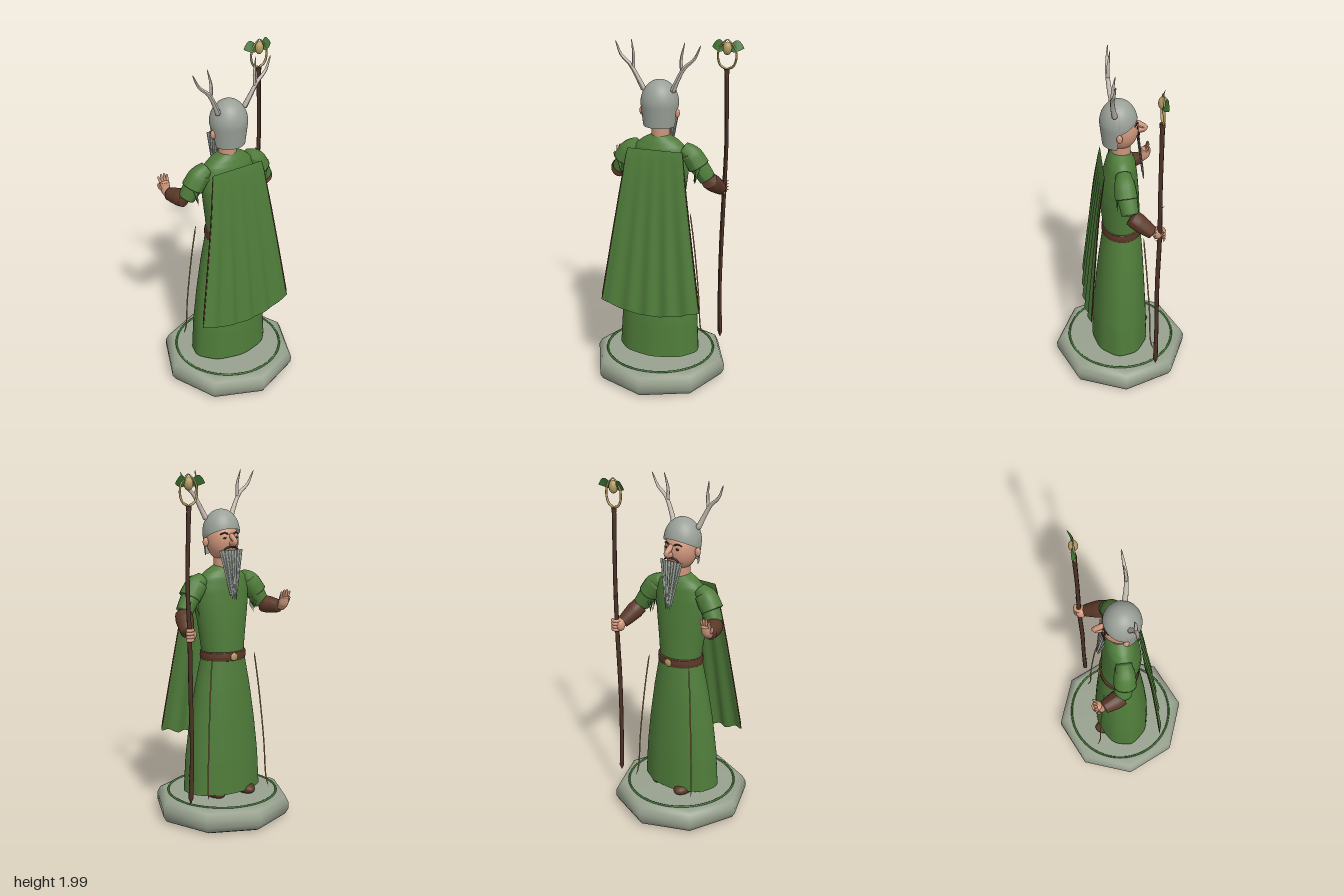
import * as THREE from 'three';
import { mergeVertices } from 'three/addons/utils/BufferGeometryUtils.js';

const V = (x, y, z) => new THREE.Vector3(x, y, z);
const CX = -0.01; // centre line of the figure
const lerp = THREE.MathUtils.lerp;

function mat(name, color, side = THREE.FrontSide) {
  const m = new THREE.MeshStandardMaterial({ color, side });
  m.name = name;
  return m;
}

// Smooth surface over a grid: u runs right, v runs down
function sheet(nu, nv, f) {
  const g = new THREE.PlaneGeometry(1, 1, nu, nv);
  const p = g.attributes.position;
  for (let j = 0; j <= nv; j++) for (let i = 0; i <= nu; i++) {
    p.setXYZ(j * (nu + 1) + i, ...f(i / nu, j / nv));
  }
  g.deleteAttribute('uv');
  g.deleteAttribute('normal');
  const merged = mergeVertices(g, 1e-5);
  merged.computeVertexNormals();
  return merged;
}

// Linear lookup in a list of equally spaced values
function sample(list, t) {
  const k = Math.min(t * (list.length - 1), list.length - 1.0001);
  const i = Math.floor(k);
  return lerp(list[i], list[i + 1], k - i);
}

// Tapered closed tube through points
function limb(points, radii, n = 20, sides = 14) {
  const curve = new THREE.CatmullRomCurve3(points.map((p) => V(...p)));
  const g = new THREE.TubeGeometry(curve, n, 1, sides);
  const p = g.attributes.position, q = V(0, 0, 0);
  for (let i = 0; i <= n; i++) {
    const c = curve.getPointAt(i / n);
    const r = i === 0 || i === n ? 0.0008 : sample(radii, i / n);
    for (let j = 0; j <= sides; j++) {
      const k = i * (sides + 1) + j;
      q.fromBufferAttribute(p, k).sub(c).multiplyScalar(r).add(c);
      p.setXYZ(k, q.x, q.y, q.z);
    }
  }
  g.computeVertexNormals();
  return g;
}

// Elliptical body from rings [y, rx, rz, zCentre], listed from the top; the hem may be fluted
function body(rings, flute = 0) {
  const curve = [0, 1, 2, 3].map((k) => rings.map((r) => r[k]));
  return sheet(72, 28, (u, v) => {
    const a = u * Math.PI * 2;
    const [y, rx, rz, cz] = curve.map((c) => sample(c, v));
    const w = 1 + flute * v * v * Math.cos(a * 9);
    return [CX + Math.sin(a) * rx * w, y, cz + Math.cos(a) * rz * w];
  });
}

export function createModel() {
  const group = new THREE.Group();
  const D = THREE.DoubleSide;
  const cloth = mat('green cloth', 0x4f7c3a, D), stone = mat('stone', 0x98a18f);
  const hair = mat('grey hair', 0x9aa198, D), bone = mat('antler bone', 0xc4bbb0);
  const skin = mat('skin', 0xcd957a), leather = mat('brown leather', 0x5a3827);
  const wood = mat('staff wood', 0x4c3226), gold = mat('pale gold', 0xb39c62);
  const leaf = mat('leaf green', 0x3f7634, D), dark = mat('dark detail', 0x33241d);

  const add = (name, geo, material, pos = [0, 0, 0], scale = [1, 1, 1], rot = [0, 0, 0]) => {
    const m = new THREE.Mesh(geo, material);
    m.name = name;
    m.position.set(...pos);
    m.scale.set(...scale);
    m.rotation.set(...rot);
    group.add(m);
    return m;
  };
  const ball = (name, material, pos, scale) => add(name, new THREE.SphereGeometry(1, 24, 16), material, pos, scale);

  // Eight-sided stone base with rounded rim and inlaid ring
  const rim = [[0, 0], [0.35, 0], [0.378, 0.014], [0.396, 0.045], [0.396, 0.085], [0.378, 0.122], [0.345, 0.138], [0, 0.138]];
  add('base', new THREE.LatheGeometry(rim.map(([x, y]) => new THREE.Vector2(x, y)), 8), stone, [CX, 0, 0]);
  add('baseRing', new THREE.TorusGeometry(0.316, 0.006, 8, 72), leaf, [CX, 0.14, 0], [1, 1, 1], [Math.PI / 2, 0, 0]);

  // Shoes
  ball('leftShoe', leather, [0.08, 0.155, -0.06], [0.052, 0.034, 0.085]);
  ball('rightShoe', leather, [-0.105, 0.16, -0.09], [0.05, 0.036, 0.088]);

  // Robe, belt and buckle
  add('skirt', body([[0.96, 0.128, 0.107, -0.007], [0.76, 0.17, 0.128, -0.002], [0.56, 0.203, 0.145, 0.003],
    [0.36, 0.227, 0.158, 0.006], [0.16, 0.238, 0.165, 0.007]], 0.012), cloth);
  add('skirtUnderside', new THREE.CircleGeometry(1, 48), cloth, [CX, 0.163, 0.007], [0.232, 0.162, 1], [Math.PI / 2, 0, 0]);
  add('torso', body([[1.465, 0.05, 0.045, 0], [1.435, 0.105, 0.066, -0.002], [1.4, 0.145, 0.08, -0.002], [1.33, 0.165, 0.094, 0.002],
    [1.26, 0.165, 0.104, 0.006], [1.18, 0.155, 0.11, 0.006], [1.06, 0.137, 0.109, 0], [0.95, 0.124, 0.104, -0.007]]), cloth);
  add('belt', body([[0.983, 0.125, 0.105, -0.007], [0.978, 0.135, 0.114, -0.007], [0.955, 0.137, 0.116, -0.007],
    [0.935, 0.135, 0.114, -0.007], [0.93, 0.125, 0.105, -0.007]]), leather);
  ball('buckle', gold, [CX, 0.956, -0.123], [0.022, 0.022, 0.008]);

  // Long trim cords in front of the robe
  for (const s of [-1, 1]) {
    add('robeCord', limb([[CX + s * 0.142, 0.965, -0.118], [CX + s * 0.165, 0.75, -0.135], [CX + s * 0.188, 0.45, -0.155],
      [CX + s * 0.2, 0.22, -0.165], [CX + s * 0.206, 0.17, -0.18]], [0.004, 0.004], 24, 6), gold);
  }

  // Cape with folds and edge piping
  const cape = (u, v) => {
    const s = u * 2 - 1;
    const fold = 0.009 * v * Math.cos(s * Math.PI * 5) * (1 - 0.4 * s * s);
    return [CX + s * lerp(0.158, 0.295, v), 1.4 - v * (0.9 + 0.055 * (1 - s * s)) + 0.006 * v * Math.cos(s * Math.PI * 5),
      0.1 + 0.12 * Math.pow(v, 0.8) - 0.02 * v * s * s + fold];
  };
  add('cape', sheet(80, 30, cape), cloth);
  for (const u of [0, 1]) {
    add('capePiping', limb([0, 0.25, 0.5, 0.75, 1].map((v) => cape(u, v)), [0.003, 0.004], 20, 6), leather);
  }

  // Neck, head and face
  add('neck', new THREE.CylinderGeometry(0.05, 0.052, 0.13, 24), skin, [CX, 1.49, -0.004]);
  ball('head', skin, [CX, 1.6, -0.004], [0.09, 0.112, 0.094]);
  add('nose', limb([[CX, 1.645, -0.085], [CX, 1.622, -0.11], [CX, 1.605, -0.135], [CX, 1.592, -0.118], [CX, 1.59, -0.09]],
    [0.01, 0.016, 0.014, 0.017, 0.016], 16, 12), skin);
  for (const s of [-1, 1]) {
    ball('ear', skin, [CX + s * 0.1, 1.595, 0.014], [0.016, 0.026, 0.016]);
    ball('eye', dark, [CX + s * 0.036, 1.622, -0.087], [0.013, 0.006, 0.004]);
    add('eyebrow', limb([[CX + s * 0.016, 1.642, -0.091], [CX + s * 0.038, 1.65, -0.085], [CX + s * 0.06, 1.64, -0.071]],
      [0.005, 0.003], 10, 8), dark);
    add('moustache', limb([[CX, 1.572, -0.1], [CX + s * 0.025, 1.57, -0.096], [CX + s * 0.05, 1.552, -0.088]],
      [0.007, 0.004], 10, 8), dark);
  }

  // Hair dome, cut high over the brow and low at the nape
  const hairRadius = (y) => (y > 1.645 ? Math.sqrt(Math.max(0, 1 - ((y - 1.645) / 0.13) ** 2)) : 1 - 1.1 * (1.645 - y));
  add('hairDome', sheet(96, 24, (u, v) => {
    const a = u * Math.PI * 2, c = Math.cos(a);
    const nape = THREE.MathUtils.smoothstep(c, 0.06, 0.16);
    const bottom = lerp(lerp(1.618, 1.672, Math.max(0, -c)), 1.52, nape);
    const y = 1.775 - (1.775 - bottom) * Math.pow(v, 1.6);
    const r = hairRadius(y);
    return [CX + Math.sin(a) * 0.106 * r, y, 0.01 + c * 0.103 * r];
  }), hair);

  // Grooved beard
  add('beard', sheet(48, 16, (u, v) => {
    const s = u * 2 - 1;
    return [CX + s * lerp(0.077, 0.022, v), 1.555 - v * (0.255 + 0.02 * Math.cos(s * 11)),
      -0.1 - 0.03 * v + 0.008 * s * s + 0.003 * Math.cos(s * 24)];
  }), hair);

  // Antlers
  for (const s of [-1, 1]) {
    const path = (pts) => pts.map(([x, y, z]) => [CX + s * x, y, z]);
    add('antler', limb(path([[0.078, 1.71, 0.035], [0.11, 1.78, 0.048], [0.152, 1.855, 0.055], [0.205, 1.905, 0.052], [0.24, 1.98, 0.045]]),
      [0.016, 0.013, 0.011, 0.008, 0.003], 24, 10), bone);
    add('antlerTine', limb(path([[0.138, 1.83, 0.054], [0.134, 1.9, 0.052], [0.15, 1.99, 0.04]]), [0.01, 0.008, 0.002], 16, 8), bone);
  }

  // Arms: upper sleeve, layered shoulder sleeve, bracer
  const arms = [
    { s: 1, side: 'left', elbow: [0.262, 1.215, -0.03], wrist: [0.308, 1.125, -0.15] },
    { s: -1, side: 'right', elbow: [-0.265, 1.225, -0.03], wrist: [-0.312, 1.22, -0.145] },
  ];
  for (const { s, side, elbow, wrist } of arms) {
    const shoulder = [CX + s * 0.155, 1.375, -0.004];
    const mid = [0, 1, 2].map((k) => (shoulder[k] + elbow[k]) / 2 + (k === 0 ? s * 0.006 : 0));
    add(side + 'UpperSleeve', limb([shoulder, mid, elbow], [0.055, 0.057, 0.052, 0.047]), cloth);
    add(side + 'ShoulderSleeve', limb([[CX + s * 0.125, 1.395, -0.004], [CX + s * 0.18, 1.36, -0.006], [CX + s * 0.225, 1.29, -0.012]],
      [0.04, 0.058, 0.063]), cloth);
    // Ragged strips below the sleeve
    for (let i = 0; i < 5; i++) {
      add('sleeveTatter', new THREE.ConeGeometry(0.013, 0.1, 6), cloth,
        [CX + s * (0.19 + 0.008 * i), 1.235 + 0.004 * i, -0.05 + i * 0.022], [1, 1, 0.5], [Math.PI, 0, s * 0.2]);
    }
    const lo = [0, 1, 2].map((k) => (elbow[k] + wrist[k]) / 2);
    add(side + 'Bracer', limb([elbow, lo, wrist], [0.047, 0.05, 0.043, 0.034]), leather);
  }

  // Left hand closed on the staff
  ball('leftPalm', skin, [0.3, 1.125, -0.172], [0.03, 0.038, 0.03]);
  for (let i = 0; i < 4; i++) {
    add('leftFinger', new THREE.TorusGeometry(0.021, 0.0095, 8, 20, 4.6), skin, [0.318, 1.1 + i * 0.018, -0.183], [1, 1, 1],
      [Math.PI / 2, 0, 1.2]);
  }

  // Right hand raised and open
  add('rightPalm', limb([[-0.312, 1.21, -0.145], [-0.313, 1.245, -0.172], [-0.313, 1.285, -0.18]], [0.02, 0.029, 0.028]), skin,
    [0, 0, 0]);
  for (let i = 0; i < 4; i++) {
    const d = i - 1.5;
    add('rightFinger', limb([[-0.313 + d * 0.013, 1.265, -0.176], [-0.313 + d * 0.016, 1.295, -0.187],
      [-0.315 + d * 0.019, 1.325 - 0.005 * d * d, -0.193]], [0.009, 0.008, 0.006], 10, 8), skin);
  }
  add('rightThumb', limb([[-0.32, 1.235, -0.165], [-0.345, 1.255, -0.172], [-0.352, 1.28, -0.178]], [0.012, 0.01, 0.007], 10, 8), skin);

  // Gnarled staff with small spurs
  add('staff', limb([[0.312, 0.165, -0.178], [0.303, 0.45, -0.18], [0.306, 0.75, -0.177], [0.314, 1.1, -0.182],
    [0.322, 1.4, -0.178], [0.313, 1.815, -0.18]], [0.014, 0.0115, 0.013, 0.0125, 0.0115, 0.013], 50, 8), wood);
  for (const [y, dz] of [[0.33, 0.014], [1.3, -0.014], [1.08, 0.013]]) {
    add('staffSpur', new THREE.ConeGeometry(0.005, 0.022, 6), wood, [0.314, y, -0.18 + dz], [1, 1, 1], [dz > 0 ? 1 : -1, 0, 0]);
  }

  // Staff head: collar, open loop, bud and leaves
  const SX = 0.314, SZ = -0.18;
  add('staffCollar', new THREE.CylinderGeometry(0.015, 0.014, 0.025, 12), wood, [SX, 1.8, SZ]);
  const loop = [[0, 1.812], [0.035, 1.83], [0.051, 1.87], [0.047, 1.92], [0.025, 1.955], [0, 1.978]];
  for (const s of [-1, 1]) {
    add('staffLoop', limb(loop.map(([x, y]) => [SX + s * x, y, SZ]), [0.007, 0.006, 0.004], 24, 8), gold);
    // Pointed leaf, cupped and drooping outward
    add('staffLeaf', sheet(24, 10, (u, v) => {
      const w = 0.03 * Math.pow(Math.sin(Math.PI * Math.pow(u, 0.85)), 0.8), t = v * 2 - 1;
      return [SX + s * (0.012 + 0.078 * u), 1.925 + 0.02 * Math.sin(u * 2.6) - t * w - 0.006 * u,
        SZ - 0.018 * u * u + 0.012 * t * Math.sin(Math.PI * u)];
    }), leaf);
  }
  ball('staffBud', gold, [SX, 1.927, SZ], [0.025, 0.036, 0.025]);

  return group;
}
